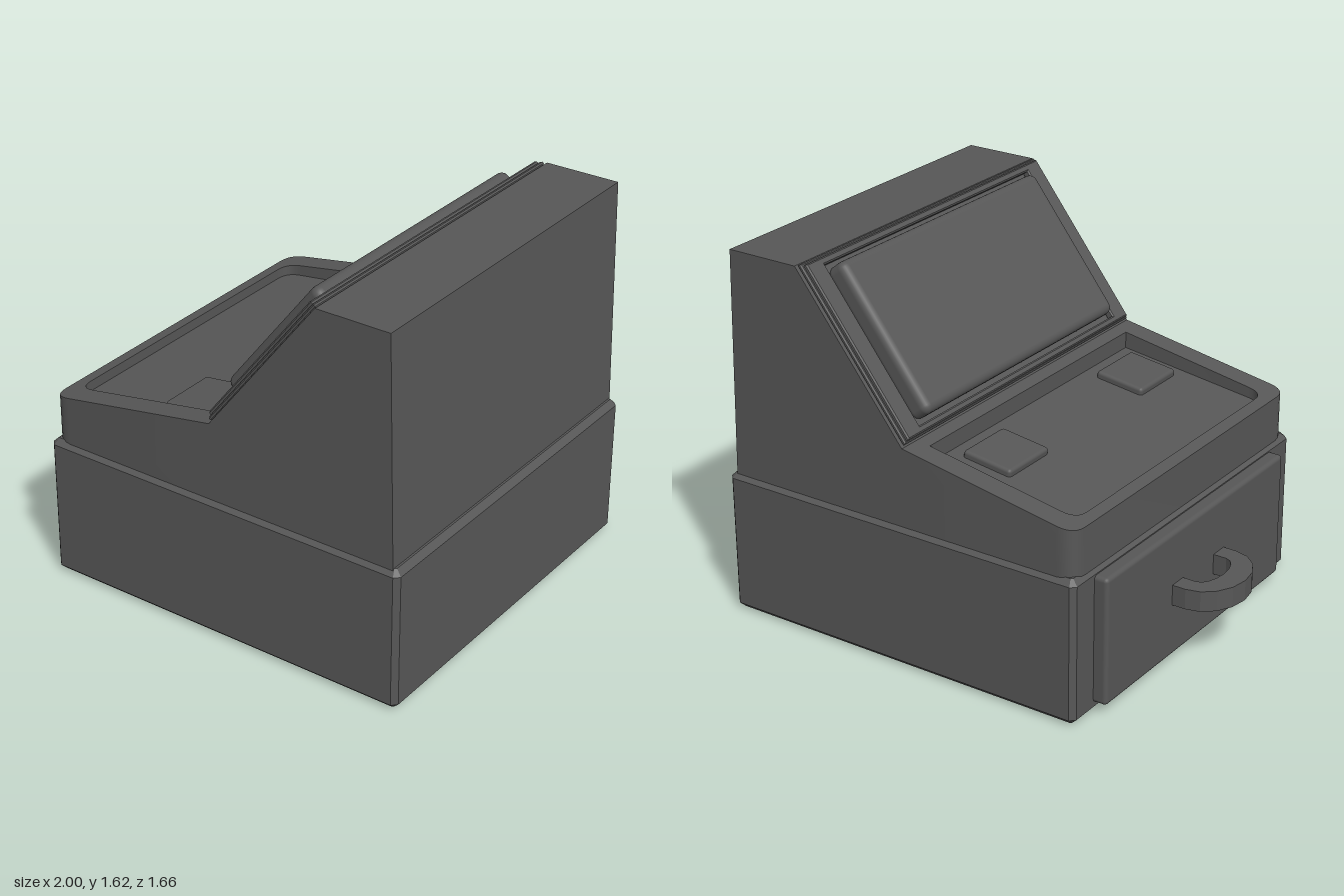
import * as THREE from 'three';
import { toCreasedNormals } from 'three/addons/utils/BufferGeometryUtils.js';
import { RoundedBoxGeometry } from 'three/addons/geometries/RoundedBoxGeometry.js';

const material = new THREE.MeshStandardMaterial({ color: 0x575757 });

function add(parent, name, geometry, x = 0, y = 0, z = 0) {
  const mesh = new THREE.Mesh(geometry, material);
  mesh.name = name;
  mesh.position.set(x, y, z);
  parent.add(mesh);
  return mesh;
}

// Rectangle in plan with separate corner radii for the low-x and high-x ends
function rect(x0, x1, z0, z1, r0 = 0, r1 = r0, Type = THREE.Shape) {
  const s = new Type();
  s.moveTo(x0 + r0, z0);
  s.lineTo(x1 - r1, z0);
  if (r1) s.quadraticCurveTo(x1, z0, x1, z0 + r1);
  s.lineTo(x1, z1 - r1);
  if (r1) s.quadraticCurveTo(x1, z1, x1 - r1, z1);
  s.lineTo(x0 + r0, z1);
  if (r0) s.quadraticCurveTo(x0, z1, x0, z1 - r0);
  s.lineTo(x0, z0 + r0);
  if (r0) s.quadraticCurveTo(x0, z0, x0 + r0, z0);
  return s;
}

// Extrude a plan shape upward from y = 0, with an optional inset bevel
function plan(shape, height, bevel = 0, curveSegments = 6) {
  const g = new THREE.ExtrudeGeometry(shape, {
    depth: height - 2 * bevel, curveSegments,
    bevelEnabled: bevel > 0, bevelThickness: bevel, bevelSize: bevel, bevelOffset: -bevel, bevelSegments: 1,
  });
  g.rotateX(-Math.PI / 2);
  g.translate(0, bevel, 0);
  return g;
}

// Heights of the sloping deck and of the flatter tray floor
const deckY = (x) => 0.83 + (x + 0.7) * 0.175;
const floorSlope = 0.135;
const floorY = (x) => 0.794 + (x + 0.65) * floorSlope;

// Extrude a plan shape and lay its ends on the given height rules
function sloped(shape, low, high) {
  const g = plan(shape, 1);
  const p = g.attributes.position;
  for (let i = 0; i < p.count; i++) {
    const x = p.getX(i);
    p.setY(i, p.getY(i) < 0.5 ? low(x) : high(x));
  }
  g.computeVertexNormals();
  return toCreasedNormals(g, 0.5);
}

export function createModel() {
  const model = new THREE.Group();
  model.name = 'cashRegister';

  // Base with chamfered edges
  add(model, 'base', plan(rect(-0.72, 1, -0.83, 0.83, 0.022), 0.635, 0.025, 1));

  // Sloping deck with a sunken tray
  const deck = rect(-0.705, 0.1, -0.812, 0.812, 0.08, 0);
  deck.holes.push(rect(-0.65, 0.04, -0.71, 0.71, 0.07, 0, THREE.Path));
  add(model, 'deck', sloped(deck, () => 0.6, deckY));
  add(model, 'trayFloor', sloped(rect(-0.66, 0.06, -0.73, 0.73), (x) => floorY(x) - 0.05, floorY));

  // Two key pads on the tray floor
  for (const z of [-0.445, 0.515]) {
    const key = add(model, 'keyPad', new RoundedBoxGeometry(0.23, 0.06, 0.27, 2, 0.015), -0.135, floorY(-0.135), z);
    key.rotation.z = Math.atan(floorSlope);
  }

  // Upright housing behind the deck
  const side = new THREE.Shape([
    [0.1, 0.6], [0.967, 0.6], [0.938, 1.62], [0.605, 1.62], [0.1, 0.97],
  ].map(([x, y]) => new THREE.Vector2(x, y)));
  add(model, 'housing', new THREE.ExtrudeGeometry(side, { depth: 1.624, bevelEnabled: false }), 0, 0, -0.812);

  // Display: local x runs up the slanted face, local y points out of it
  const display = new THREE.Group();
  display.name = 'display';
  display.position.set(0.1, 0.97, 0);
  display.rotation.z = Math.atan2(0.65, 0.505);
  model.add(display);
  const frame = (x0, x1, w, height) => {
    const s = rect(x0, x1, -w, w);
    s.holes.push(rect(0.045, 0.775, -0.695, 0.695, 0, 0, THREE.Path));
    return plan(s, height, 0.006);
  };
  add(display, 'outerFrame', frame(0.008, 0.818, 0.8, 0.02));
  add(display, 'innerFrame', frame(0.016, 0.806, 0.788, 0.036));
  add(display, 'screen', new RoundedBoxGeometry(0.69, 0.11, 1.34, 3, 0.035), 0.41, 0.035, 0);

  // Drawer front
  add(model, 'drawerFront', new RoundedBoxGeometry(0.1, 0.56, 1.36, 2, 0.018), -0.73, 0.325, -0.01);

  // Curved flat handle: outer arc, then inner arc back
  const grip = new THREE.Shape();
  const arc = (rx, rz, from, to) => {
    for (let i = 0; i <= 8; i++) {
      const t = from + (to - from) * i / 8;
      grip.lineTo(-0.84 - rx * Math.sin(t), 0.01 + rz * Math.cos(t));
    }
  };
  grip.moveTo(-0.76, 0.21);
  arc(0.16, 0.2, 0, Math.PI);
  grip.lineTo(-0.76, -0.19);
  grip.lineTo(-0.76, -0.11);
  arc(0.06, 0.12, Math.PI, 0);
  grip.lineTo(-0.76, 0.13);
  add(model, 'handle', plan(grip, 0.09), 0, 0.28, 0);

  return model;
}
